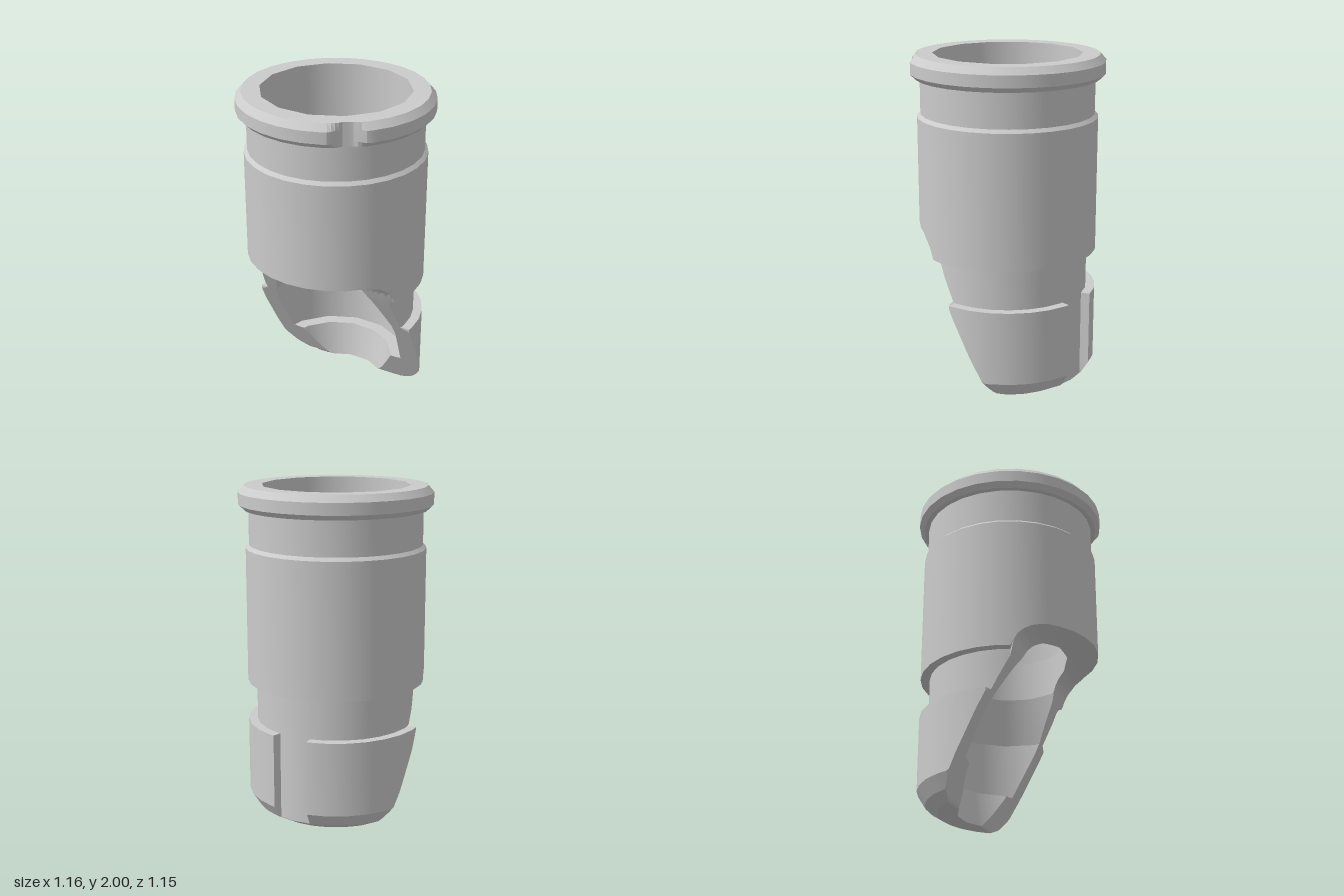
import * as THREE from 'three';
import { toCreasedNormals } from 'three/addons/utils/BufferGeometryUtils.js';

const RAD = Math.PI / 180;
const CUT_DIR = -37 * RAD;            // direction the slanted opening faces
const SLOT_DIR = CUT_DIR + Math.PI;   // key slot sits opposite the opening
const SLOT_HALF = 12.3 * RAD;

// Profiles as [radius, height], from the top down
const OUTER = [
  [0.443, 2], [0.545, 2], [0.58, 1.96], [0.58, 1.89], [0.55, 1.86], [0.52, 1.86],
  [0.52, 1.65], [0.54, 1.63], [0.54, 0.82], [0.485, 0.82], [0.485, 0.57],
  [0.54, 0.57], [0.54, 0.12], [0.49, 0.04], [0.42, 0],
];
const INNER = [
  [0.443, 2], [0.443, 1.1], [0.352, 1.1], [0.352, 0.85], [0.43, 0.57],
  [0.43, 0.22], [0.352, 0.22], [0.305, 0],
];
// Slanted cut with a rounded top: [distance along the cut direction, height]
const CUT = [[-0.245, 0], [0.18, 0.82], [0.206, 0.88], [0.24, 0.92], [0.286, 0.95], [0.36, 0.972], [0.6, 0.978]];
const CUT_ROWS = 8;

function cutHeight(s) {
  if (s <= CUT[0][0]) return 0;
  for (let i = 1; i < CUT.length; i++) {
    const [s0, y0] = CUT[i - 1], [s1, y1] = CUT[i];
    if (s <= s1) return y0 + (y1 - y0) * (s - s0) / (s1 - s0);
  }
  return CUT[CUT.length - 1][1];
}

// Keeps the part of a profile above the cut; points past it gather on the edge
function clip(profile, k) {
  const out = [];
  let end = null;
  profile.forEach((p, i) => {
    if (!end && p[1] < cutHeight(p[0] * k) - 1e-6) {
      const q = profile[i - 1];
      const at = (t) => [q[0] + (p[0] - q[0]) * t, q[1] + (p[1] - q[1]) * t];
      let lo = 0, hi = 1;
      for (let n = 0; n < 30; n++) {
        const m = (lo + hi) / 2, [r, y] = at(m);
        if (y < cutHeight(r * k)) hi = m; else lo = m;
      }
      end = at(lo);
    }
    out.push(end || p);
  });
  return out;
}

// Outer profile at one angle, with the flange notch and the key slot
function outerAt(angle, inSlot) {
  return OUTER.map(([r, y]) => {
    if (y > 1.85 && Math.cos(angle) > 0) {
      const x = Math.abs(r * Math.sin(angle));
      r = Math.min(r, 0.53 + 0.65 * Math.max(0, x - 0.03));
    }
    if (inSlot && y < 0.6) r = Math.min(r, 0.485);
    return [r, y];
  });
}

// Closed cross-section: outside down, cut face inwards, bore back up
function column(angle, inSlot) {
  const k = Math.cos(angle - CUT_DIR);
  const outer = clip(outerAt(angle, inSlot), k), inner = clip(INNER, k);
  const a = outer[outer.length - 1], b = inner[inner.length - 1];
  const face = [];
  for (let i = 0; i <= CUT_ROWS; i++) {
    const r = a[0] + (b[0] - a[0]) * i / CUT_ROWS;
    face.push(i === 0 ? a : i === CUT_ROWS ? b : [r, cutHeight(r * k)]);
  }
  const place = ([r, y]) => new THREE.Vector3(r * Math.sin(angle), y, r * Math.cos(angle));
  return { outer: outer.map(place), face: face.map(place), inner: inner.reverse().map(place) };
}

// Turns round sections into many-sided ones: 14 sides in the bore, 28 outside
function facet(geometry) {
  const p = geometry.attributes.position;
  for (let i = 0; i < p.count; i++) {
    const x = p.getX(i), y = p.getY(i), z = p.getZ(i), r = Math.hypot(x, z);
    const sides = r < 0.37 || (r < 0.46 && y > 0.03) ? 14 : 28;
    const step = 2 * Math.PI / sides, angle = Math.atan2(x, z);
    const local = angle - Math.round(angle / step - 0.5) * step - step / 2;
    const f = Math.cos(step / 2) / Math.cos(local);
    p.setXYZ(i, x * f, y, z * f);
  }
  return geometry;
}

// Joins neighbouring columns into a surface
function skin(name, rows, material) {
  const pos = [];
  const tri = (a, b, c) => {
    const area = b.clone().sub(a).cross(c.clone().sub(a)).length();
    if (area > 1e-9) pos.push(...a.toArray(), ...b.toArray(), ...c.toArray());
  };
  rows.forEach((col, j) => {
    const next = rows[(j + 1) % rows.length];
    for (let i = 0; i < col.length - 1; i++) {
      tri(col[i], col[i + 1], next[i + 1]);
      tri(col[i], next[i + 1], next[i]);
    }
  });
  const g = new THREE.BufferGeometry();
  g.setAttribute('position', new THREE.Float32BufferAttribute(pos, 3));
  const mesh = new THREE.Mesh(facet(toCreasedNormals(g, 0.22)), material);
  mesh.name = name;
  return mesh;
}

export function createModel() {
  const group = new THREE.Group();
  group.name = 'slantedSleeve';
  const material = new THREE.MeshStandardMaterial({ color: 0xcccccc });

  // Even angles, plus doubled ones at the slot edges for upright slot walls
  const angles = [];
  for (let i = 0; i < 168; i++) angles.push(CUT_DIR + i * 2 * Math.PI / 168);
  for (const side of [-1, 1]) {
    for (const e of [-0.0005, 0.0005]) angles.push(SLOT_DIR + side * SLOT_HALF + e);
  }
  angles.sort((a, b) => a - b);
  const columns = angles.map((a) => column(a, Math.abs(a - SLOT_DIR) < SLOT_HALF));

  group.add(skin('outerShell', columns.map((c) => c.outer), material));
  group.add(skin('slantedCutFace', columns.map((c) => c.face), material));
  group.add(skin('bore', columns.map((c) => c.inner), material));
  return group;
}
